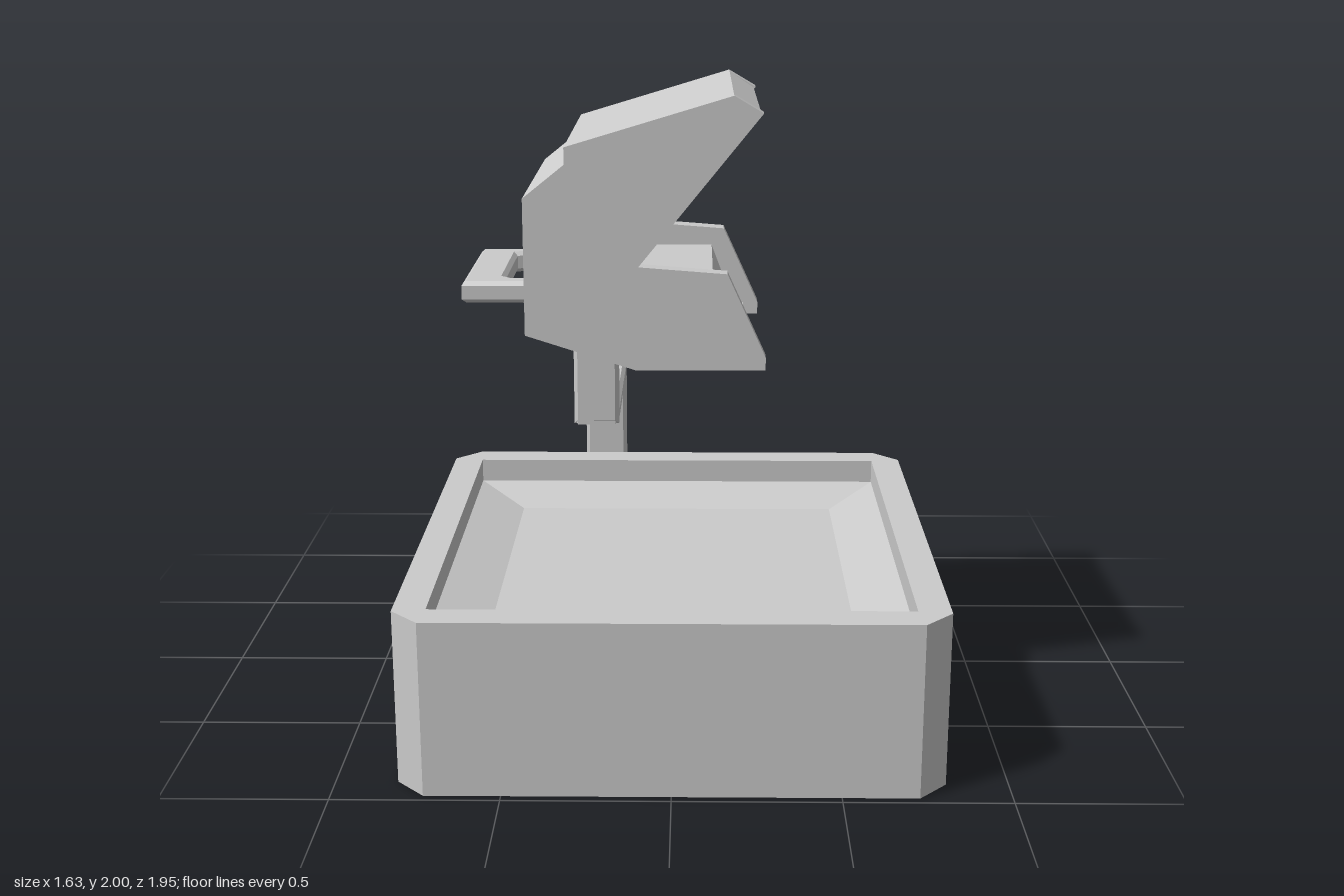
import * as THREE from 'three';

const material = new THREE.MeshStandardMaterial({ color: 0xcccccc, flatShading: true });

function addMesh(parent, name, geometry) {
  const mesh = new THREE.Mesh(geometry, material);
  mesh.name = name;
  parent.add(mesh);
  return mesh;
}

// Extrude an outline from w0 to w1, with an optional chamfer kept inside the outline
function slab(points, w0, w1, chamfer = 0) {
  const shape = new THREE.Shape(points.map(([x, y]) => new THREE.Vector2(x, y)));
  const geometry = new THREE.ExtrudeGeometry(shape, {
    depth: w1 - w0 - 2 * chamfer,
    bevelEnabled: chamfer > 0,
    bevelSize: chamfer, bevelThickness: chamfer, bevelOffset: -chamfer, bevelSegments: 1,
  });
  return geometry.translate(0, 0, w0 + chamfer);
}

// Join rings of equal point count and cap both ends
function loft(rings) {
  const n = rings[0].length, index = [];
  for (let i = 0; i < rings.length - 1; i++) {
    for (let j = 0; j < n; j++) {
      const a = i * n + j, b = i * n + (j + 1) % n;
      index.push(a, b, b + n, a, b + n, a + n);
    }
  }
  const last = (rings.length - 1) * n;
  for (let j = 1; j < n - 1; j++) index.push(0, j + 1, j, last, last + j, last + j + 1);
  const geometry = new THREE.BufferGeometry();
  geometry.setAttribute('position', new THREE.Float32BufferAttribute(rings.flat(2), 3));
  geometry.setIndex(index);
  const flat = geometry.toNonIndexed();
  flat.computeVertexNormals();
  return flat;
}

// Horizontal rectangle with cut corners, counter-clockwise from above
function trayRing(hx, hz, y, cut) {
  const cz = 0.158;
  return [
    [hx, hz - cut], [hx, -hz + cut], [hx - cut, -hz], [-hx + cut, -hz],
    [-hx, -hz + cut], [-hx, hz - cut], [-hx + cut, hz], [hx - cut, hz],
  ].map(([x, z]) => [x, y, cz + z]);
}

function buildTray(group) {
  addMesh(group, 'tray', loft([
    trayRing(0.814, 0.816, 0, 0.086),
    trayRing(0.814, 0.816, 0.545, 0.086),
    trayRing(0.715, 0.715, 0.545, 0),
    trayRing(0.715, 0.715, 0.465, 0),
    trayRing(0.55, 0.55, 0.415, 0),
  ]));
}

function buildArm(group) {
  const arm = new THREE.Group();
  arm.name = 'arm';
  group.add(arm);

  // Flared foot joining the arm to the back wall
  const foot = [[-0.65, 0.145, 0.077], [-0.69, 0.112, 0.06], [-0.74, 0.092, 0.05], [-0.81, 0.075, 0.038]];
  addMesh(arm, 'armFoot', loft(foot.map(([z, hx, hy]) =>
    [[-1, -1], [-1, 1], [1, 1], [1, -1]].map(([sx, sy]) => [-0.275 + sx * hx, 0.289 + sy * hy, z]))));

  // Bracket that rises behind the tray and reaches over its rim (outline in z, y)
  addMesh(arm, 'rearBracket', slab([
    [-0.77, 0.25], [-0.974, 0.25], [-0.974, 0.827], [-0.252, 0.827], [-0.252, 0.773],
    [-0.885, 0.773], [-0.908, 0.75], [-0.908, 0.35], [-0.885, 0.329], [-0.77, 0.329],
  ].reverse(), 0.198, 0.353, 0.013).rotateY(-Math.PI / 2));

  // Upright with a sideways step (outline in x, y)
  addMesh(arm, 'steppedPost', slab([
    [-0.353, 0.775], [-0.198, 0.775], [-0.198, 1.07], [-0.182, 1.086], [-0.088, 1.086], [-0.088, 1.392],
    [-0.17, 1.392], [-0.17, 1.215], [-0.2, 1.187], [-0.353, 1.187],
  ], -0.321, -0.25, 0.013));

  // Crank that wraps round to the back of the head (outline in x, z)
  addMesh(arm, 'crank', slab([
    [-0.088, -0.324], [-0.34, -0.324], [-0.5, -0.27], [-0.66, -0.27], [-0.66, 0.285],
    [-0.41, 0.285], [-0.41, 0.212], [-0.508, 0.212], [-0.532, 0.188], [-0.532, -0.2],
    [-0.33, -0.256], [-0.088, -0.256],
  ].reverse(), -1.392, -1.323, 0.013).rotateX(Math.PI / 2));
}

function buildHead(group) {
  const head = new THREE.Group();
  head.name = 'head';
  group.add(head);

  // Shared back of the profile, from the lower rear up to the upper lip
  const back = [[-0.11, 1.196], [-0.434, 1.3], [-0.434, 1.705], [-0.312, 1.803], [-0.312, 1.853], [0.175, 2.0]];
  // Point on the upper mouth slope: t along it, d into the head
  const mouth = (t, d) => [-0.1 + 0.36 * t - 0.78 * d, 1.505 + 0.445 * t + 0.63 * d];

  // Side plates
  const plate = [...back, [0.26, 1.95], [-0.1, 1.505], [0.16, 1.485], [0.274, 1.235], [0.274, 1.196]];
  addMesh(head, 'rightCheek', slab(plate, -0.204, -0.14));
  addMesh(head, 'leftCheek', slab(plate, 0.56, 0.612));

  // Core set back between the plates, with a low sill under the jaw; its middle slice carries the pocket
  const core = pocket => [
    ...back, mouth(0.99, 0.004), mouth(0.798, 0.004), mouth(0.798, 0.04), ...pocket,
    mouth(-0.225, 0.04), [0.12, 1.43], [0.192, 1.237], [0.225, 1.235], [0.225, 1.196],
  ];
  const pocket = [mouth(0.606, 0.04), mouth(0.606, 0.135), mouth(0.022, 0.135), mouth(0.022, 0.04)];
  addMesh(head, 'coreRight', slab(core([]), -0.14, 0));
  addMesh(head, 'corePocket', slab(core(pocket), 0, 0.42));
  addMesh(head, 'coreLeft', slab(core([]), 0.42, 0.56));
}

export function createModel() {
  const group = new THREE.Group();
  group.name = 'trayWithHead';
  buildTray(group);
  buildArm(group);
  buildHead(group);
  return group;
}
